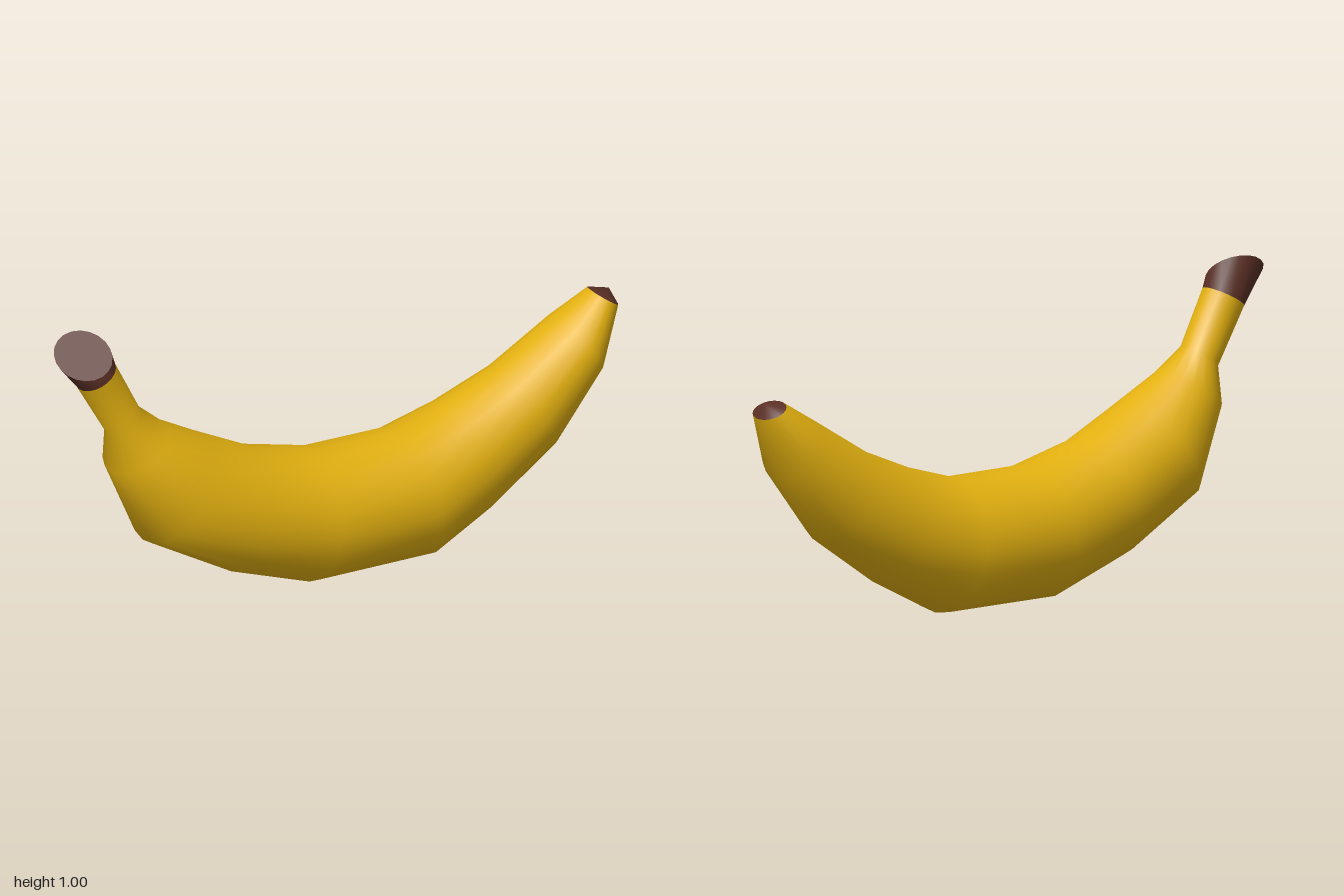
import * as THREE from 'three';

const SIDES = 20;

// Ring: inner (upper) point, outer (lower) point, half width in z, optional slant of the ring along z
function ringPoints([ix, iy, ox, oy, w, sx = 0, sy = 0]) {
  const cx = (ix + ox) / 2, cy = (iy + oy) / 2;
  const pts = [];
  for (let j = 0; j < SIDES; j++) {
    const a = (j / SIDES) * Math.PI * 2, c = Math.cos(a), s = Math.sin(a);
    pts.push(cx + (ix - cx) * c + sx * s, cy + (iy - cy) * c + sy * s, w * s);
  }
  return pts;
}

function build(positions, index) {
  const g = new THREE.BufferGeometry();
  g.setAttribute('position', new THREE.Float32BufferAttribute(positions, 3));
  g.setIndex(index);
  g.computeVertexNormals();
  return g;
}

// Smooth skin through a row of rings, running towards +x
function loft(rings) {
  const index = [];
  for (let i = 0; i < rings.length - 1; i++) {
    for (let j = 0; j < SIDES; j++) {
      const k = (j + 1) % SIDES;
      const a = i * SIDES + j, b = a + SIDES, c = i * SIDES + k, d = c + SIDES;
      index.push(a, c, b, b, c, d);
    }
  }
  return build(rings.flatMap(ringPoints), index);
}

// Fan closing one ring at a centre point
function fan(ring, x, y, towardsPlusX) {
  const index = [];
  for (let j = 0; j < SIDES; j++) {
    const k = (j + 1) % SIDES;
    if (towardsPlusX) index.push(SIDES, j, k);
    else index.push(SIDES, k, j);
  }
  return build([...ringPoints(ring), x, y, 0], index);
}

export function createModel() {
  const yellow = new THREE.MeshStandardMaterial({ color: 0xe2b010 });
  yellow.name = 'banana yellow';
  const brown = new THREE.MeshStandardMaterial({ color: 0x5a2f25 });
  brown.name = 'stem brown';

  const group = new THREE.Group();
  group.name = 'banana';
  const add = (name, geometry, material) => {
    const mesh = new THREE.Mesh(geometry, material);
    mesh.name = name;
    group.add(mesh);
  };

  // Peel, from the stem neck to the blossom end
  const peel = [
    [-0.81, 0.905, -0.93, 0.835, 0.072],
    [-0.72, 0.73, -0.825, 0.655, 0.068],
    [-0.63, 0.655, -0.82, 0.53, 0.125],
    [-0.48, 0.575, -0.70, 0.265, 0.188],
    [-0.30, 0.485, -0.42, 0.105, 0.198],
    [-0.07, 0.425, -0.14, 0.005, 0.212],
    [0.22, 0.42, 0.29, 0.0, 0.212],
    [0.40, 0.47, 0.50, 0.105, 0.188],
    [0.59, 0.545, 0.75, 0.27, 0.16],
    [0.80, 0.666, 0.92, 0.485, 0.135],
    [0.92, 0.735, 0.998, 0.685, 0.068],
  ];
  add('peel', loft(peel), yellow);

  // Obliquely cut stem end
  const cut = [-0.835, 0.975, -0.995, 0.915, 0.068, 0.03, -0.052];
  add('stemEnd', loft([cut, peel[0]]), brown);
  add('stemCut', fan(cut, -0.915, 0.945, false), brown);

  // Blunt blossom tip
  add('blossomTip', fan(peel[peel.length - 1], 0.98, 0.733, true), brown);

  return group;
}
